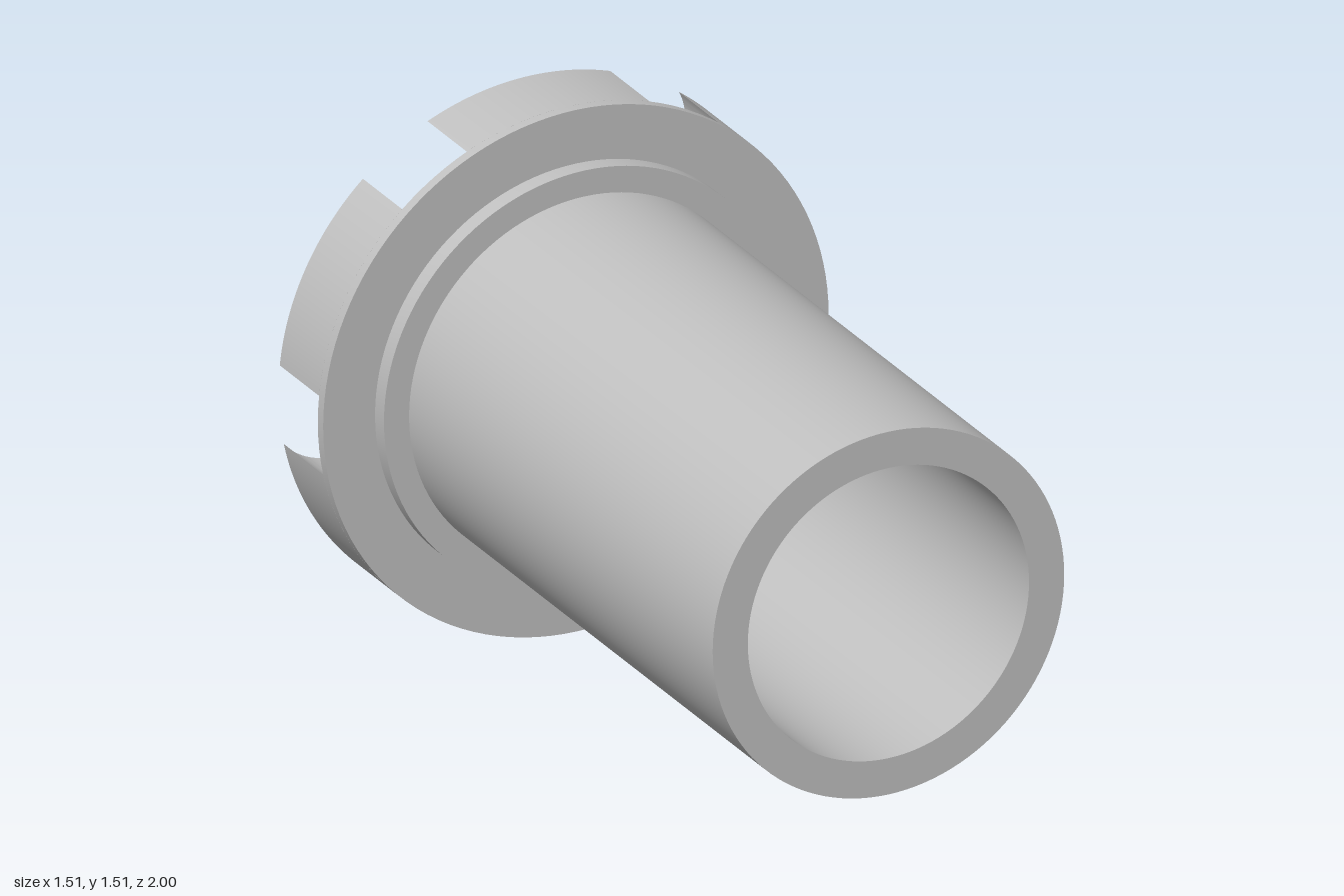
import * as THREE from 'three';
import { toCreasedNormals } from 'three/addons/utils/BufferGeometryUtils.js';

const BORE = 0.42, TUBE = 0.525, COLLAR = 0.6, FLANGE = 0.755;
const FLOOR_Z = -0.78, BACK_Z = -1;          // pocket floor and back face
const POCKET_R = 0.19, POCKET_C = 0.595;     // pocket radius and pitch radius
const POCKETS = 6, OFFSET = THREE.MathUtils.degToRad(3);

// Where a pocket circle cuts a rim of radius r: angle about the axis, and about the pocket centre
function cut(r) {
  const axis = Math.acos((r * r + POCKET_C ** 2 - POCKET_R ** 2) / (2 * r * POCKET_C));
  const pocket = Math.atan2(r * Math.sin(axis), r * Math.cos(axis) - POCKET_C);
  return { axis, pocket };
}

// Outline of the land left standing between two neighbouring round pockets
function landShape(t0, t1) {
  const o = cut(FLANGE), i = cut(BORE);
  const centre = (t) => [POCKET_C * Math.cos(t), POCKET_C * Math.sin(t)];
  const s = new THREE.Shape();
  s.absarc(0, 0, FLANGE, t0 + o.axis, t1 - o.axis, false);
  s.absarc(...centre(t1), POCKET_R, t1 - o.pocket, t1 - i.pocket, true);
  s.absarc(0, 0, BORE, t1 - i.axis, t0 + i.axis, true);
  s.absarc(...centre(t0), POCKET_R, t0 + i.pocket, t0 + o.pocket, true);
  return s;
}

export function createModel() {
  const model = new THREE.Group();
  model.name = 'flangedSleeve';
  const metal = new THREE.MeshStandardMaterial({ color: 0xc0c0c0 });
  metal.name = 'lightGrey';

  const add = (name, geometry) => {
    const mesh = new THREE.Mesh(toCreasedNormals(geometry, 0.5), metal);
    mesh.name = name;
    mesh.position.y = FLANGE;
    model.add(mesh);
  };

  // Hollow tube with collar and solid front of the flange, turned about z
  const profile = [
    [BORE, FLOOR_Z], [FLANGE, FLOOR_Z], [FLANGE, -0.75], [COLLAR, -0.75], [COLLAR, -0.7],
    [TUBE, -0.7], [TUBE, 1], [BORE, 1], [BORE, FLOOR_Z],
  ].map(([r, z]) => new THREE.Vector2(r, z));
  add('sleeveBody', new THREE.LatheGeometry(profile, 120).rotateX(Math.PI / 2));

  // Six lands on the back of the flange, separated by round pockets
  const step = (Math.PI * 2) / POCKETS;
  for (let k = 0; k < POCKETS; k++) {
    const t = OFFSET + k * step;
    const land = new THREE.ExtrudeGeometry(landShape(t, t + step), {
      depth: FLOOR_Z - BACK_Z, bevelEnabled: false, curveSegments: 24,
    });
    add('flangeLand' + (k + 1), land.translate(0, 0, BACK_Z));
  }
  return model;
}
